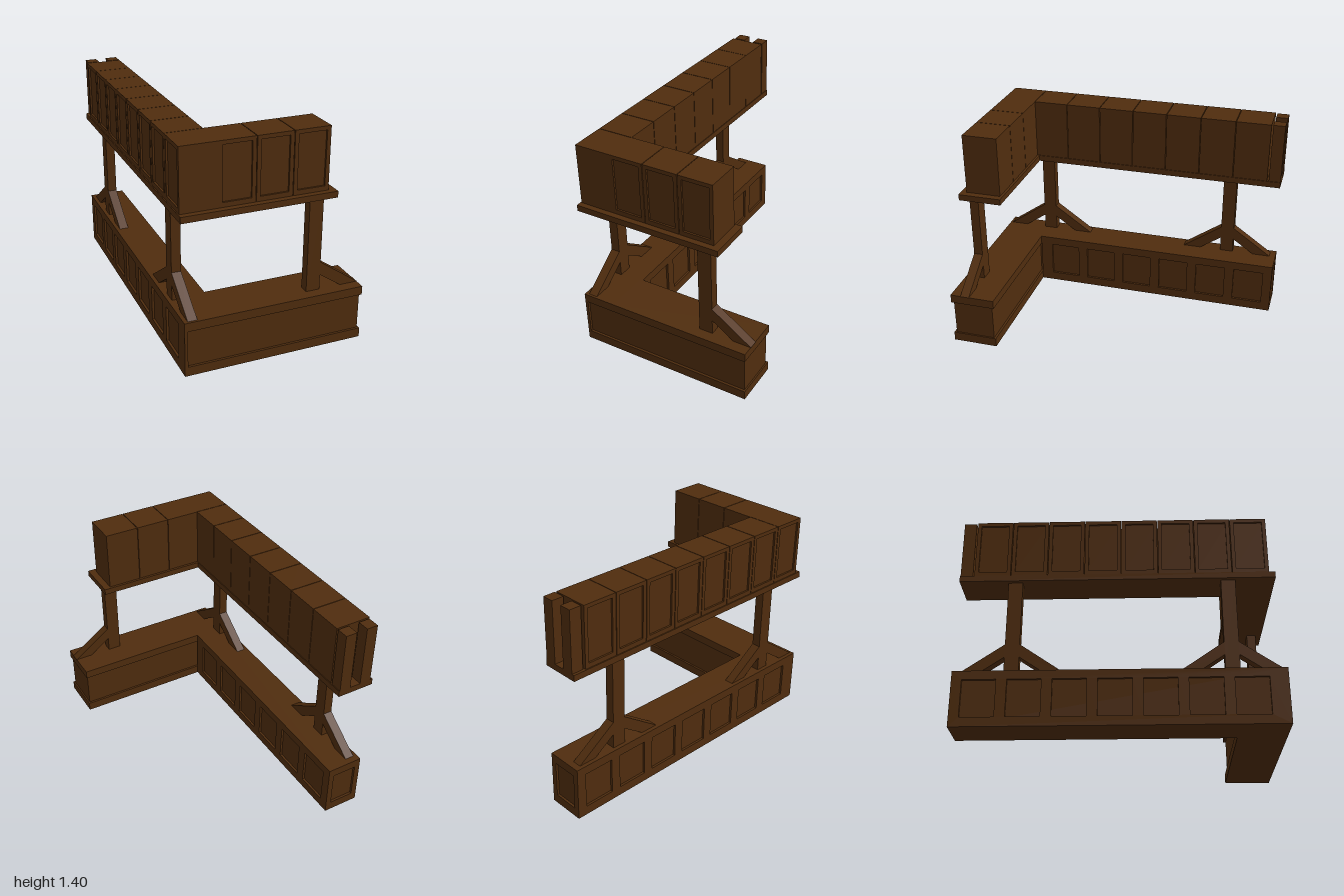
import * as THREE from 'three';

const wood = new THREE.MeshStandardMaterial({ color: 0x502d0e });
wood.name = 'dark wood';

export function createModel() {
  const model = new THREE.Group();
  model.name = 'cornerBar';

  const add = (name, geo) => {
    const mesh = new THREE.Mesh(geo, wood);
    mesh.name = name;
    model.add(mesh);
    return mesh;
  };
  // Box given by its limits on each axis
  const box = (name, x0, x1, y0, y1, z0, z1) => {
    const m = add(name, new THREE.BoxGeometry(x1 - x0, y1 - y0, z1 - z0));
    m.position.set((x0 + x1) / 2, (y0 + y1) / 2, (z0 + z1) / 2);
    return m;
  };
  const rect = (path, x0, x1, y0, y1) => {
    path.moveTo(x0, y0);
    path.lineTo(x1, y0);
    path.lineTo(x1, y1);
    path.lineTo(x0, y1);
    path.closePath();
    return path;
  };
  // Frame with panel openings [centre, width], centred on its own middle and turned about y
  const frame = (name, w, y0, y1, h0, h1, openings, depth, x, z, turn) => {
    const shape = rect(new THREE.Shape(), -w / 2, w / 2, y0, y1);
    for (const [c, pw] of openings) {
      shape.holes.push(rect(new THREE.Path(), c - pw / 2, c + pw / 2, h0, h1));
    }
    const m = add(name, new THREE.ExtrudeGeometry(shape, { depth, bevelEnabled: false }));
    m.position.set(x, 0, z);
    m.rotation.y = turn;
    return m;
  };

  const H = 0.355, P0 = 0.06, P1 = 0.298, D = 0.015, Q = Math.PI / 2;

  // Long base counter: core with panelled frames
  box('longBaseCore', -0.565, -0.355, 0, H, -0.985, 0.985);
  const centres = Array.from({ length: 7 }, (_, i) => -0.835 + 0.27 * i);
  frame('outerBasePanels', 2, 0, H, P0, P1, centres.map((c) => [c, 0.205]), D, -0.565, 0, -Q);
  frame('innerBasePanels', 1.7, 0, H, P0, P1,
    centres.slice(0, 6).map((c) => [-(c + 0.15), 0.205]), D, -0.355, -0.15, Q);
  frame('baseEndPanel', 0.21, 0, H, P0, P1, [[0, 0.165]], D, -0.46, -0.985, Math.PI);

  // Short base counter: core with rails round it and a stile at the corner
  box('shortBaseCore', -0.36, 0.57, P0, P1, 0.715, 0.985);
  box('bottomRail', -0.355, 0.58, 0, P0, 0.7, 1);
  box('topRail', -0.355, 0.58, P1, H, 0.7, 1);
  box('bottomRailCorner', -0.565, -0.355, 0, P0, 0.985, 1);
  box('topRailCorner', -0.565, -0.355, P1, H, 0.985, 1);
  box('cornerStile', -0.565, -0.56, P0, P1, 0.985, 1);

  // Posts
  const postZ = [0.677, -0.65];
  for (const z of postZ) box('longSidePost', -0.555, -0.495, H, 0.97, z - 0.045, z + 0.045);
  box('shortSidePost', 0.23, 0.32, H, 0.97, 0.87, 0.93);

  // Sloping braces, drawn outwards from the face of a post
  const brace = (x, z, turn) => {
    const s = new THREE.Shape();
    s.moveTo(0, 0.455);
    s.lineTo(0.145, H);
    s.lineTo(0.265, H);
    s.lineTo(0, 0.54);
    const geo = new THREE.ExtrudeGeometry(s, { depth: 0.06, bevelEnabled: false });
    geo.translate(0, 0, -0.03);
    const m = add('brace', geo);
    m.position.set(x, 0, z);
    m.rotation.y = turn;
  };
  brace(0.317, 0.9, 0);
  for (const z of postZ) {
    brace(-0.525, z + 0.043, -Q);
    brace(-0.525, z - 0.043, Q);
  }

  // Shelf under the cabinets
  box('longShelf', -0.585, -0.34, 0.965, 1.005, -1, 0.97);
  box('shortShelf', -0.34, 0.39, 0.965, 1.005, 0.685, 0.97);

  // Wall cabinets with recessed doors
  const C0 = 1.005, C1 = 1.4, W = 0.231, T = 0.012, gap = 0.004;
  for (let i = 0; i < 8; i++) {
    const z1 = 0.933 - i * W, z0 = z1 - W + gap, mid = (z0 + z1) / 2;
    box('longCabinet', -0.578 + T, -0.345, C0, C1, z0, z1);
    frame('longCabinetDoor', z1 - z0, C0, C1, 1.035, 1.375, [[0, 0.178]], T, -0.578 + T, mid, -Q);
  }
  for (let i = 0; i < 3; i++) {
    const x0 = -0.345 + i * W, x1 = x0 + W - gap, mid = (x0 + x1) / 2;
    box('shortCabinet', x0, x1, C0, C1, 0.702, 0.933 - T);
    frame('shortCabinetDoor', x1 - x0, C0, C1, 1.035, 1.375, [[0, 0.178]], T, mid, 0.933 - T, 0);
  }

  // Pair of uprights closing the far end
  box('endUpright', -0.567, -0.492, C0, C1, -1, -0.922);
  box('endUpright', -0.42, -0.345, C0, C1, -1, -0.922);

  return model;
}
